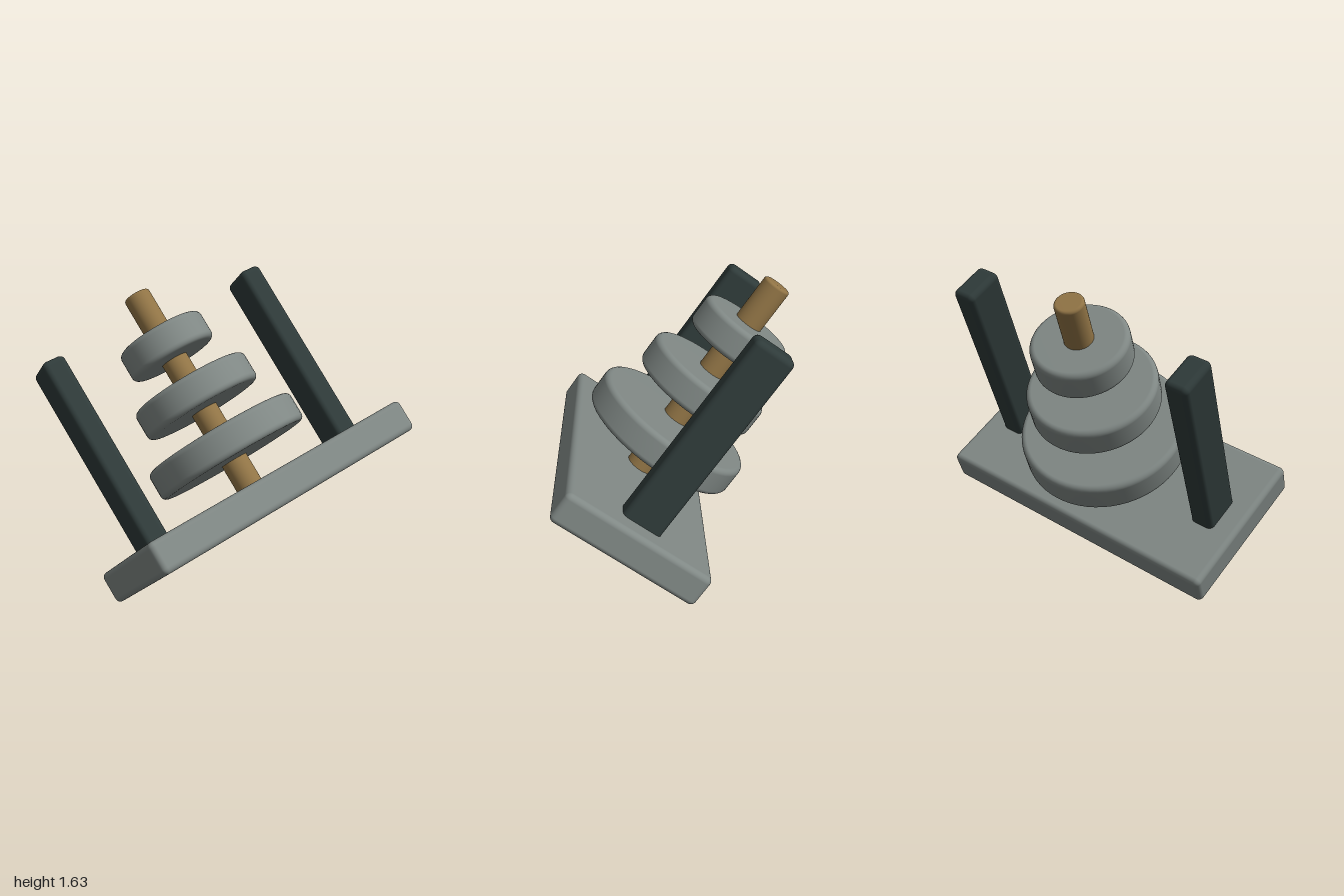
import * as THREE from 'three';
import { RoundedBoxGeometry } from 'three/addons/geometries/RoundedBoxGeometry.js';

const material = (name, color) => {
  const m = new THREE.MeshStandardMaterial({ color });
  m.name = name;
  return m;
};

// Cylinder with rounded rims, standing between two heights
function roundedCylinder(radius, bottom, top, bevel) {
  const points = [new THREE.Vector2(0, bottom)];
  const arc = (cy, from) => {
    for (let i = 0; i <= 5; i++) {
      const a = from + (i / 5) * Math.PI / 2;
      points.push(new THREE.Vector2(radius - bevel + Math.cos(a) * bevel, cy + Math.sin(a) * bevel));
    }
  };
  arc(bottom + bevel, -Math.PI / 2);
  arc(top - bevel, 0);
  points.push(new THREE.Vector2(0, top));
  return new THREE.LatheGeometry(points, 64);
}

export function createModel() {
  const grey = material('stone grey', 0x808885);
  const dark = material('dark slate', 0x2f3b3a);
  const wood = material('wood brown', 0x927546);

  const model = new THREE.Group();
  model.name = 'ringStacker';
  const add = (name, geometry, mat) => {
    const mesh = new THREE.Mesh(geometry, mat);
    mesh.name = name;
    model.add(mesh);
    return mesh;
  };

  // Base plate, centred on the local origin
  add('base', new RoundedBoxGeometry(1.67, 0.176, 0.835, 4, 0.03), grey);

  // Central rod
  add('rod', roundedCylinder(0.075, 0.05, 1.305, 0.015), wood);

  // Three discs, shrinking upward
  [0.44, 0.34, 0.25].forEach((radius, i) => {
    const bottom = 0.257 + i * 0.317;
    add('disc' + (i + 1), roundedCylinder(radius, bottom, bottom + 0.167, 0.03), grey);
  });

  // Side posts
  for (const side of [-1, 1]) {
    const post = add(side < 0 ? 'rightPost' : 'leftPost',
      new RoundedBoxGeometry(0.13, 1.107, 0.22, 4, 0.03), dark);
    post.position.set(side * 0.65, 0.6035, 0);
  }

  // Tilt of the whole toy: long axis, up axis, depth axis
  const u = new THREE.Vector3(0.804, 0.252, -0.54).normalize();
  const v = new THREE.Vector3(0.325, 0.5625, 0.7625).cross(u).normalize();
  const w = u.clone().cross(v);
  model.quaternion.setFromRotationMatrix(new THREE.Matrix4().makeBasis(u, v, w));
  model.position.set(0.165, 0.4975, 0.048);

  const root = new THREE.Group();
  root.add(model);
  return root;
}
